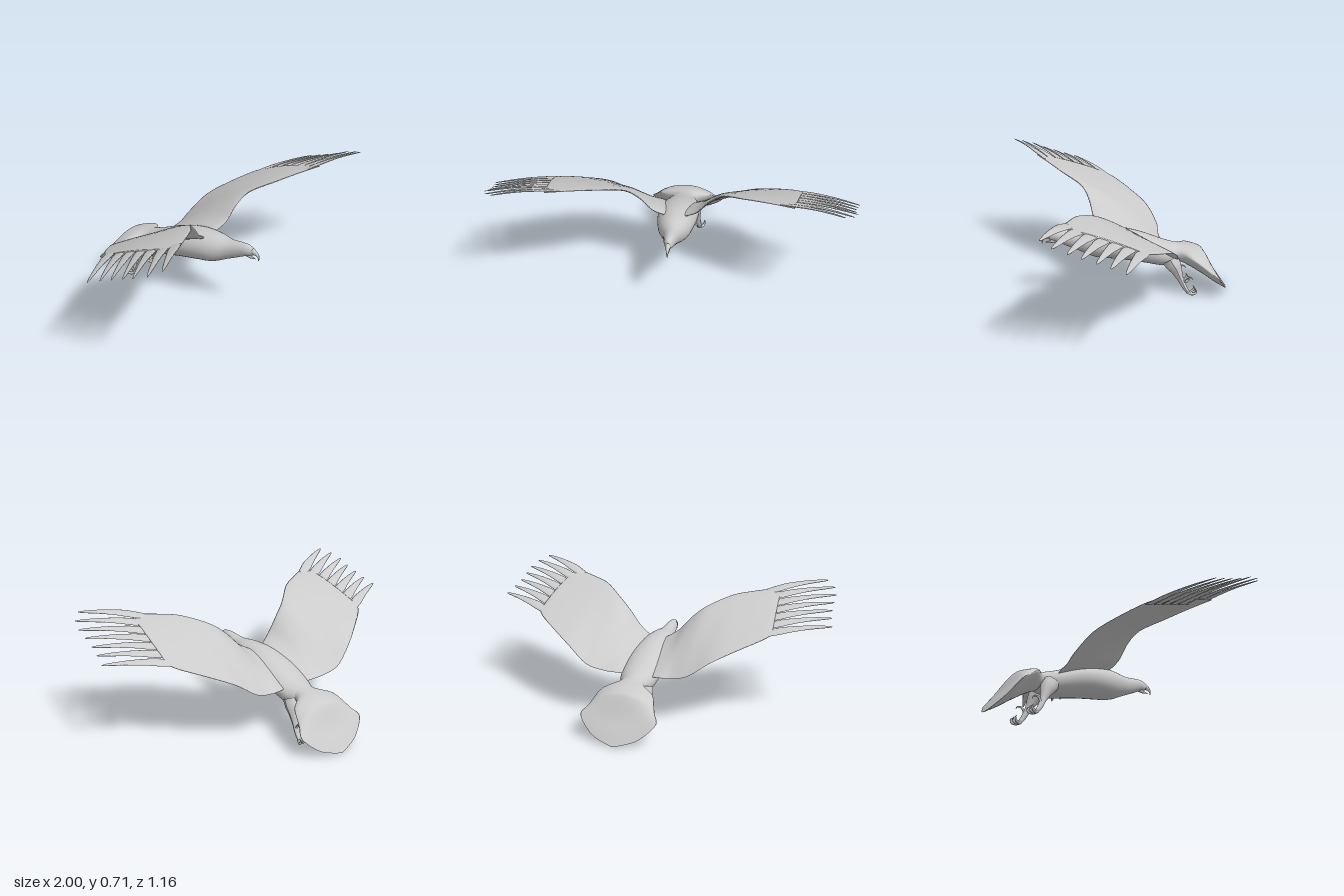
import * as THREE from 'three';

const V = (x, y, z) => new THREE.Vector3(x, y, z);
const material = new THREE.MeshStandardMaterial({ color: 0xcccccc, side: THREE.DoubleSide });

// Smoothly resample a table of cross-section parameters
function resample(rows, steps) {
  const out = [], last = rows.length - 1;
  for (let i = 0; i < last; i++) {
    const a = rows[Math.max(i - 1, 0)], b = rows[i], c = rows[i + 1], d = rows[Math.min(i + 2, last)];
    for (let s = 0; s < steps; s++) {
      const t = s / steps;
      out.push(b.map((v, k) => v + 0.5 * t * (c[k] - a[k]
        + t * (2 * a[k] - 5 * v + 4 * c[k] - d[k] + t * (3 * (v - c[k]) + d[k] - a[k])))));
    }
  }
  out.push(rows[last]);
  return out;
}

// Skin a list of closed rings, closing both ends
function loft(name, rings, flip = false) {
  const centre = ring => {
    const c = ring.reduce((sum, p) => sum.add(p), V(0, 0, 0)).divideScalar(ring.length);
    return ring.map(() => c);
  };
  const all = [centre(rings[0]), ...rings, centre(rings[rings.length - 1])];
  const n = rings[0].length, index = [];
  for (let i = 0; i < all.length - 1; i++) {
    for (let j = 0; j < n; j++) {
      const a = i * n + j, b = i * n + (j + 1) % n, c = a + n, d = b + n;
      index.push(...(flip ? [a, b, c, b, d, c] : [a, c, b, b, c, d]));
    }
  }
  const geometry = new THREE.BufferGeometry().setFromPoints(all.flat());
  geometry.setIndex(index);
  geometry.computeVertexNormals();
  const mesh = new THREE.Mesh(geometry, material);
  mesh.name = name;
  return mesh;
}

const ringOf = (n, f) => Array.from({ length: n }, (_, j) => f(j / n * Math.PI * 2));

// Rows: z, top, bottom, half width, height of the widest line, sharpness of the edge
function trunk(name, rows, steps) {
  return loft(name, resample(rows, steps).map(([z, top, bottom, w, edge, p]) => ringOf(32, a => {
    const s = Math.sin(a), h = Math.pow(Math.abs(s), p);
    return V(w * Math.cos(a), edge + h * (s > 0 ? top - edge : bottom - edge), z);
  })));
}

// Tube whose radius follows a list of values
function limb(name, points, radii, segments = 16) {
  const curve = new THREE.CatmullRomCurve3(points), sides = 10;
  const geometry = new THREE.TubeGeometry(curve, segments, 1, sides);
  const pos = geometry.attributes.position, v = V(0, 0, 0);
  for (let i = 0; i <= segments; i++) {
    const c = curve.getPointAt(i / segments);
    const f = i / segments * (radii.length - 1), k = Math.min(Math.floor(f), radii.length - 2);
    const r = THREE.MathUtils.lerp(radii[k], radii[k + 1], f - k);
    for (let j = 0; j <= sides; j++) {
      const id = i * (sides + 1) + j;
      v.fromBufferAttribute(pos, id).sub(c).multiplyScalar(r).add(c);
      pos.setXYZ(id, v.x, v.y, v.z);
    }
  }
  geometry.computeVertexNormals();
  const mesh = new THREE.Mesh(geometry, material);
  mesh.name = name;
  return mesh;
}

// Wing stations: front edge xyz, rear edge xyz, half thickness
const wingRows = [
  [0.04, 0.39, 0.15, 0.04, 0.27, -0.19, 0.02],
  [0.12, 0.44, 0.18, 0.13, 0.28, -0.215, 0.024],
  [0.19, 0.52, 0.195, 0.2, 0.285, -0.22, 0.022],
  [0.27, 0.585, 0.23, 0.3, 0.315, -0.23, 0.019],
  [0.39, 0.635, 0.33, 0.42, 0.395, -0.19, 0.015],
  [0.5, 0.655, 0.385, 0.55, 0.455, -0.11, 0.011],
  [0.6, 0.667, 0.43, 0.66, 0.5, -0.03, 0.008],
  [0.65, 0.672, 0.452, 0.7, 0.52, 0.02, 0.004],
];

// Feather tips from the front of the wing to the rear
const featherTips = [
  [0.9, 0.71, 0.57], [0.95, 0.685, 0.52], [0.97, 0.66, 0.45], [0.97, 0.632, 0.385],
  [0.975, 0.605, 0.315], [0.985, 0.58, 0.25], [1.0, 0.553, 0.18],
];

function wing(side) {
  const group = new THREE.Group();
  group.name = side > 0 ? 'leftWing' : 'rightWing';
  const flip = side < 0;
  const panel = resample(wingRows, 5).map(([fx, fy, fz, rx, ry, rz, t]) => ringOf(28, a => {
    const c = Math.cos(a), s = Math.sin(a), m = (c + 1) / 2;
    const camber = 0.014 * s * s, thick = t * s * (0.62 + 0.38 * c);
    return V(side * (rx + (fx - rx) * m), ry + (fy - ry) * m + camber + thick, rz + (fz - rz) * m);
  }));
  group.add(loft('wingPanel', panel, flip));

  // Separate flight feathers fanning from the wing end
  const front = V(0.58, 0.658, 0.392), rear = V(0.64, 0.517, 0.015);
  const across = front.clone().sub(rear).normalize();
  featherTips.forEach((tip, i) => {
    const base = front.clone().lerp(rear, i / (featherTips.length - 1));
    const end = V(...tip);
    const shape = [[0, 0.028, 0.004], [0.25, 0.033, 0.006], [0.45, 0.026, 0.005],
      [0.75, 0.016, 0.004], [0.94, 0.008, 0.003], [1, 0.002, 0.001]];
    const rings = resample(shape, 3).map(([t, w, h]) => ringOf(10, a => {
      const p = base.clone().lerp(end, t).addScaledVector(across, w * Math.cos(a));
      p.y += h * Math.sin(a) + 0.012 * Math.sin(Math.PI * t);
      p.x *= side;
      return p;
    }));
    group.add(loft('flightFeather', rings, flip));
  });
  return group;
}

function leg(side) {
  const group = new THREE.Group();
  group.name = side > 0 ? 'leftLeg' : 'rightLeg';
  const at = (x, y, z) => V(side * x, y, z);
  group.add(limb('thighAndShank',
    [at(0.055, 0.22, -0.235), at(0.07, 0.16, -0.27), at(0.083, 0.09, -0.3), at(0.09, 0.045, -0.322), at(0.092, 0.016, -0.342)],
    [0.05, 0.045, 0.03, 0.018, 0.015, 0.011]));
  // Three curled front toes
  for (const k of [-1, 0, 1]) {
    const x = d => 0.092 + k * d;
    group.add(limb('toe', [at(0.092, 0.018, -0.335), at(x(0.014), 0.01, -0.355),
      at(x(0.025), 0.016, -0.376), at(x(0.028), 0.034, -0.382), at(x(0.027), 0.046, -0.372)],
    [0.009, 0.008, 0.008, 0.005, 0.0005]));
  }
  // Opposing toe with its long claw
  group.add(limb('hindToe', [at(0.09, 0.045, -0.322), at(0.09, 0.072, -0.315), at(0.09, 0.1, -0.325),
    at(0.09, 0.109, -0.345), at(0.09, 0.1, -0.364), at(0.09, 0.085, -0.367)],
  [0.01, 0.008, 0.007, 0.006, 0.004, 0.0005]));
  return group;
}

export function createModel() {
  const model = new THREE.Group();
  model.name = 'soaringBird';

  // Head and body
  model.add(trunk('body', [
    [0.45, 0.41, 0.365, 0.014, 0.385, 1],
    [0.41, 0.42, 0.35, 0.028, 0.385, 1],
    [0.36, 0.417, 0.325, 0.036, 0.375, 1],
    [0.29, 0.41, 0.292, 0.052, 0.355, 1],
    [0.2, 0.418, 0.25, 0.088, 0.335, 1],
    [0.1, 0.415, 0.232, 0.106, 0.325, 1],
    [0, 0.395, 0.215, 0.115, 0.31, 1],
    [-0.1, 0.362, 0.192, 0.112, 0.285, 1],
    [-0.2, 0.32, 0.168, 0.1, 0.25, 1],
    [-0.26, 0.3, 0.175, 0.078, 0.24, 1],
    [-0.31, 0.285, 0.19, 0.06, 0.238, 1],
  ], 5));

  // Fanned tail, bent down at its end
  model.add(trunk('tail', [
    [-0.24, 0.302, 0.195, 0.07, 0.25, 1],
    [-0.3, 0.289, 0.185, 0.078, 0.245, 1],
    [-0.36, 0.278, 0.155, 0.148, 0.232, 1.4],
    [-0.42, 0.26, 0.115, 0.178, 0.19, 1.6],
    [-0.45, 0.235, 0.095, 0.192, 0.165, 1.6],
    [-0.5, 0.138, 0.058, 0.217, 0.125, 1.6],
    [-0.55, 0.062, 0.028, 0.14, 0.05, 1.6],
    [-0.575, 0.022, 0.013, 0.06, 0.018, 1.4],
    [-0.586, 0.006, 0.004, 0.005, 0.005, 1],
  ], 5));

  // Hooked upper beak and short lower beak
  const upper = limb('upperBeak', [V(0, 0.39, 0.42), V(0, 0.386, 0.455), V(0, 0.374, 0.48), V(0, 0.356, 0.488), V(0, 0.34, 0.487)],
    [0.026, 0.021, 0.014, 0.007, 0.001]);
  const lower = limb('lowerBeak', [V(0, 0.359, 0.4), V(0, 0.351, 0.43), V(0, 0.348, 0.468)], [0.014, 0.009, 0.002], 10);
  for (const beak of [upper, lower]) beak.scale.x = 0.75;
  model.add(upper, lower);

  for (const side of [1, -1]) model.add(wing(side), leg(side));
  return model;
}
